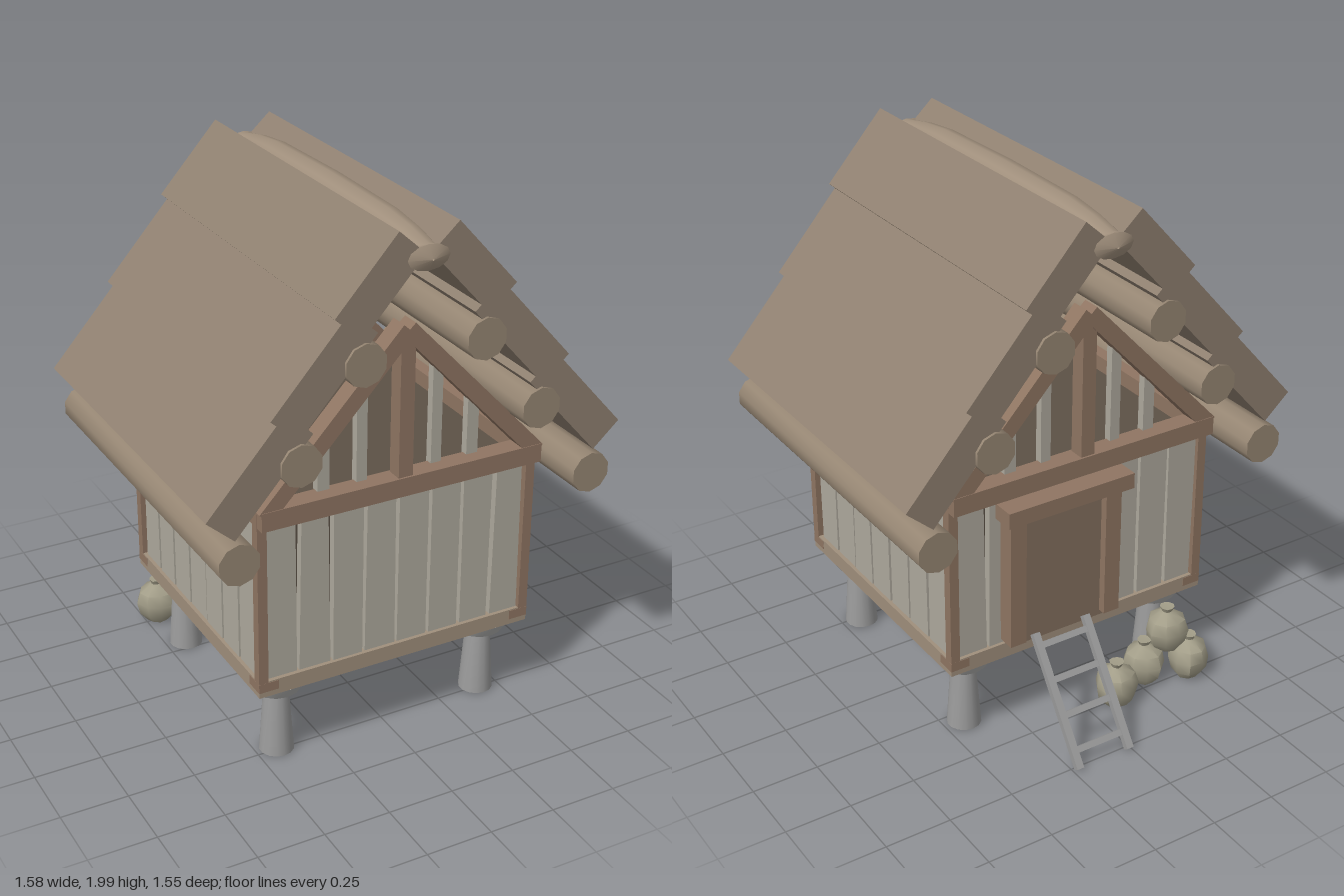
import * as THREE from 'three';
import { toCreasedNormals } from 'three/addons/utils/BufferGeometryUtils.js';

const mat = (color, extra = {}) => new THREE.MeshStandardMaterial({ color, ...extra });
const M = {
  roof: mat(0x8f8070), log: mat(0x968673), frame: mat(0x8f7562), sill: mat(0xa08f7c),
  plank: mat(0xaea99d), dark: mat(0x5c5146), door: mat(0x83705f),
  stone: mat(0x9c9c9c), cap: mat(0xb0b0ae), ladder: mat(0x9a9a9a), sack: mat(0xa29d88),
};
const CZ = 0.09; // depth centre of the hut
const FRONT = 0.61, BACK = -0.43;

export function createModel() {
  const root = new THREE.Group();
  let seed = 7;
  const rnd = () => ((seed = (seed * 16807) % 2147483647) / 2147483647);

  const add = (name, geo, m, x, y, z, parent = root) => {
    const mesh = new THREE.Mesh(geo, m);
    mesh.name = name;
    mesh.position.set(x, y, z);
    parent.add(mesh);
    return mesh;
  };
  const box = (name, m, w, h, d, x, y, z) => add(name, new THREE.BoxGeometry(w, h, d), m, x, y, z);
  // box running from a to b in the xy plane
  const beam = (name, m, a, b, thick, depth, z) => {
    const dx = b[0] - a[0], dy = b[1] - a[1];
    const mesh = box(name, m, Math.hypot(dx, dy), thick, depth, (a[0] + b[0]) / 2, (a[1] + b[1]) / 2, z);
    mesh.rotation.z = Math.atan2(dy, dx);
    return mesh;
  };

  // stone feet with flared caps
  for (const x of [-0.42, 0.42]) for (const z of [0.485, -0.3]) {
    add('footPost', toCreasedNormals(new THREE.CylinderGeometry(0.045, 0.064, 0.27, 14), 0.8), M.stone, x, 0.145, z);
    add('footCap', toCreasedNormals(new THREE.CylinderGeometry(0.12, 0.09, 0.05, 14), 0.6), M.cap, x, 0.3, z);
  }

  // floor, sill beams and dark core behind the planks
  box('floor', M.dark, 1.04, 0.03, 1.0, 0, 0.347, CZ);
  box('wallCore', M.dark, 1.0, 0.64, 0.95, 0, 0.68, CZ);
  for (const s of [-1, 1]) {
    box('sillBeam', M.sill, 1.09, 0.06, 0.05, 0, 0.36, CZ + s * 0.495);
    box('sillBeam', M.sill, 0.05, 0.06, 0.94, s * 0.52, 0.36, CZ);
    box('wallPlate', M.frame, 0.05, 0.06, 1.0, s * 0.52, 1.03, CZ);
    for (const t of [-1, 1]) {
      box('cornerPost', M.frame, 0.036, 0.68, 0.036, s * 0.528, 0.725, CZ + t * 0.503);
      box('cornerBlock', M.frame, 0.075, 0.035, 0.075, s * 0.509, 0.368, CZ + t * 0.484);
    }
  }

  // wall planks, each slightly tapered and uneven
  const plankWall = (name, count, length, place) => {
    const step = length / count;
    for (let i = 0; i < count; i++) {
      const g = new THREE.BoxGeometry(step, 0.64, 0.028);
      const p = g.attributes.position;
      const top = 0.012 * rnd(), bottom = 0.006 * rnd();
      for (let k = 0; k < p.count; k++) {
        const inset = 0.003 + (p.getY(k) > 0 ? top : bottom);
        p.setX(k, p.getX(k) - Math.sign(p.getX(k)) * inset);
      }
      place(add(name, g, M.plank, 0, 0.7, 0), -length / 2 + step * (i + 0.5), 0.004 * rnd());
    }
  };
  for (const s of [-1, 1]) {
    plankWall(s > 0 ? 'frontPlank' : 'backPlank', 8, 1.03, (m, t, o) => {
      m.position.x = t;
      m.position.z = CZ + s * (0.49 + o);
    });
    plankWall(s > 0 ? 'leftPlank' : 'rightPlank', 7, 0.96, (m, t, o) => {
      m.rotation.y = Math.PI / 2;
      m.position.x = s * (0.515 + o);
      m.position.z = CZ + t;
    });
  }

  // open gable trusses
  for (const z of [FRONT, BACK]) {
    const dir = z > CZ ? 1 : -1;
    box('tieBeam', M.frame, 1.09, 0.07, 0.075, 0, 1.035, z);
    box('kingPost', M.frame, 0.055, 0.53, 0.06, 0, 1.32, z);
    for (const s of [-1, 1]) {
      beam('gableRafter', M.frame, [s * 0.53, 1.045], [0, 1.61], 0.06, 0.07, z);
      box('gableStud', M.plank, 0.04, 0.4, 0.03, s * 0.145, 1.24, z - dir * 0.03);
      box('gableStud', M.plank, 0.045, 0.24, 0.03, s * 0.29, 1.16, z - dir * 0.03);
    }
  }

  // roof: three overlapping slabs per slope, over round purlins
  const slabs = [[0.11, 2.0, 0.335, 1.75], [0.28, 1.765, 0.56, 1.45], [0.51, 1.465, 0.79, 1.15]];
  const T = 0.134, N = [0.745, 0.667];
  const logGeo = toCreasedNormals(new THREE.CylinderGeometry(0.076, 0.076, 1.35, 10).rotateX(Math.PI / 2), 0.8);
  for (const s of [-1, 1]) {
    for (const [x1, y1, x2, y2] of slabs) {
      const ox = N[0] * T / 2, oy = N[1] * T / 2;
      beam('roofSlab', M.roof, [s * (x1 - ox), y1 - oy], [s * (x2 - ox), y2 - oy], T, 1.33, 0.085);
    }
    for (const [x, y] of [[0.68, 0.975], [0.455, 1.275], [0.225, 1.575]]) {
      add('roofLog', logGeo, M.log, s * x, y, 0.085);
    }
  }

  // swollen ridge roll with flattened, pointed end knobs: [z, halfWidth, halfHeight]
  const half = [[0.69, 0.004, 0.003], [0.665, 0.078, 0.045], [0.65, 0.05, 0.045], [0.54, 0.066, 0.068], [0.4, 0.078, 0.083], [0, 0.082, 0.09]];
  const rings = [...half, ...half.slice(0, -1).reverse().map(([z, a, b]) => [-z, a, b])];
  const SIDES = 12, pos = [], idx = [];
  rings.forEach(([z, a, b], r) => {
    for (let i = 0; i < SIDES; i++) {
      const t = (i / SIDES) * Math.PI * 2;
      pos.push(a * Math.cos(t), b * Math.sin(t), z);
      if (r === 0) continue;
      const j = (i + 1) % SIDES, p = (r - 1) * SIDES, q = r * SIDES;
      idx.push(p + i, q + i, q + j, p + i, q + j, p + j);
    }
  });
  const ridge = new THREE.BufferGeometry();
  ridge.setAttribute('position', new THREE.Float32BufferAttribute(pos, 3));
  ridge.setIndex(idx);
  add('ridgeRoll', toCreasedNormals(ridge, 0.7), mat(0xa08f7c, { side: THREE.DoubleSide }), 0, 1.895, 0.085);

  // back door
  const DX = 0.1;
  box('doorPanel', M.door, 0.38, 0.55, 0.04, DX, 0.66, BACK - 0.005);
  box('doorLintel', M.frame, 0.52, 0.06, 0.09, DX, 0.95, BACK - 0.045);
  for (const s of [-1, 1]) box('doorPost', M.frame, 0.065, 0.53, 0.07, DX + s * 0.2, 0.67, BACK - 0.02);

  // leaning ladder
  const ladder = new THREE.Group();
  ladder.name = 'ladder';
  root.add(ladder);
  const foot = [0.015, -0.77], head = [0.425, -0.48];
  const len = Math.hypot(head[0] - foot[0], head[1] - foot[1]);
  const lean = Math.atan2(head[1] - foot[1], head[0] - foot[0]);
  ladder.position.set(0.12, foot[0], foot[1]);
  ladder.rotation.x = lean;
  for (const s of [-1, 1]) add('ladderRail', new THREE.BoxGeometry(0.028, len, 0.024), M.ladder, s * 0.108, len / 2, 0, ladder);
  for (let i = 0; i < 4; i++) add('ladderRung', new THREE.BoxGeometry(0.2, 0.022, 0.018), M.ladder, 0, 0.065 + i * 0.13, 0, ladder);

  // tied sacks: lumpy lathes
  const profile = [[0, 0], [0.045, 0.002], [0.07, 0.035], [0.08, 0.085], [0.068, 0.13], [0.03, 0.155], [0.02, 0.162], [0.028, 0.18], [0, 0.178]]
    .map(([x, y]) => new THREE.Vector2(x, y));
  const sackGeo = new THREE.LatheGeometry(profile, 9);
  const sp = sackGeo.attributes.position;
  for (let k = 0; k < sp.count; k++) {
    const a = Math.atan2(sp.getZ(k), sp.getX(k));
    const f = 1 + 0.06 * Math.cos(3 * a + sp.getY(k) * 20);
    sp.setXYZ(k, sp.getX(k) * f, sp.getY(k), sp.getZ(k) * f);
  }
  const sackSmooth = toCreasedNormals(sackGeo, 0.9);
  [[-0.115, 0.01, -0.51], [-0.285, 0.01, -0.45], [-0.45, 0.01, -0.51], [-0.375, 0.135, -0.465]].forEach(([x, y, z], i) => {
    add('sack', sackSmooth, M.sack, x, y, z).rotation.y = i * 1.3;
  });

  return root;
}
